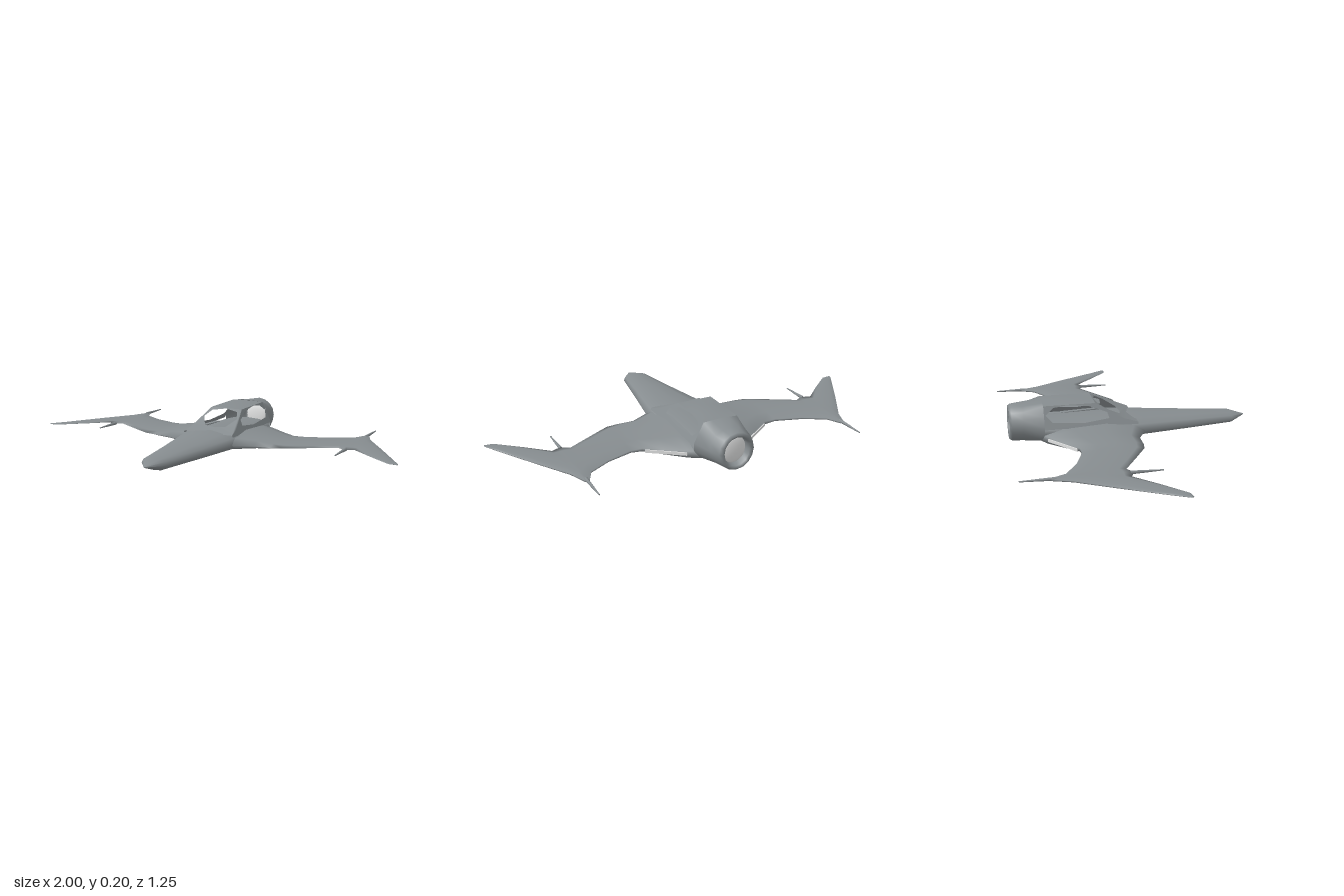
import * as THREE from 'three';

const hullGrey = new THREE.MeshStandardMaterial({ color: 0x868c8f, side: THREE.DoubleSide });
hullGrey.name = 'hull grey';
const glowWhite = new THREE.MeshStandardMaterial({ color: 0xe4e5e5 });
glowWhite.name = 'pale exhaust';

// Skin a row of closed rings; caps fan to each ring's centre. Faces are turned outward.
function loft(rings, capStart = true, capEnd = true) {
  const n = rings[0].length, pos = [], index = [];
  rings.forEach(r => r.forEach(p => pos.push(...p)));
  for (let i = 0; i < rings.length - 1; i++) {
    for (let j = 0; j < n; j++) {
      const a = i * n + j, b = i * n + (j + 1) % n;
      index.push(a, b, a + n, b, b + n, a + n);
    }
  }
  const cap = (i, flip) => {
    const c = pos.length / 3;
    pos.push(...[0, 1, 2].map(k => rings[i].reduce((s, p) => s + p[k], 0) / n));
    const first = pos.length / 3;
    rings[i].forEach(p => pos.push(...p));
    for (let j = 0; j < n; j++) {
      const a = first + j, b = first + (j + 1) % n;
      index.push(c, flip ? b : a, flip ? a : b);
    }
  };
  if (capStart) cap(0, true);
  if (capEnd) cap(rings.length - 1, false);
  const v = i => new THREE.Vector3(pos[3 * i], pos[3 * i + 1], pos[3 * i + 2]);
  let volume = 0;
  for (let i = 0; i < index.length; i += 3) {
    volume += v(index[i]).dot(v(index[i + 1]).cross(v(index[i + 2])));
  }
  if (volume < 0) index.reverse();
  const g = new THREE.BufferGeometry();
  g.setAttribute('position', new THREE.Float32BufferAttribute(pos, 3));
  g.setIndex(index);
  g.computeVertexNormals();
  return g;
}

// Complete a half cross-section (bottom centre to top centre) into a ring at depth z
const ring = (half, z) => [
  ...half.map(([x, y]) => [x, y, z]),
  ...half.slice(1, -1).reverse().map(([x, y]) => [-x, y, z]),
];

// Flat outline with a hole, bent into place by a rule
function panel(outline, hole, rule) {
  const toV = ([a, b]) => new THREE.Vector2(a, b);
  const shape = new THREE.Shape(outline.map(toV));
  shape.holes.push(new THREE.Path(hole.map(toV)));
  const g = new THREE.ShapeGeometry(shape);
  const p = g.attributes.position;
  for (let i = 0; i < p.count; i++) p.setXYZ(i, ...rule(p.getX(i), p.getY(i)));
  return g;
}

// Turn triangles so their average normal points along dir
function facing(g, dir) {
  g.computeVertexNormals();
  const nrm = g.attributes.normal;
  let sum = 0;
  for (let i = 0; i < nrm.count; i++) sum += new THREE.Vector3().fromBufferAttribute(nrm, i).dot(dir);
  if (sum < 0) {
    g.index.array.reverse();
    g.computeVertexNormals();
  }
  return g;
}

const mirrorX = pts => [...pts, ...pts.slice().reverse().filter(p => p[0] !== 0).map(([x, z]) => [-x, z])];

export function createModel() {
  const model = new THREE.Group();
  const add = (name, geometry, material = hullGrey) => {
    const mesh = new THREE.Mesh(geometry, material);
    mesh.name = name;
    model.add(mesh);
    return mesh;
  };

  // Nose and lower hull: z, half width, bottom, middle, top
  const hull = [
    [0.625, 0.004, 0.053, 0.055, 0.057],
    [0.54, 0.07, 0.024, 0.052, 0.082],
    [0.3, 0.11, 0.014, 0.052, 0.094],
    [0.06, 0.155, 0.009, 0.055, 0.105],
    [-0.05, 0.17, 0.008, 0.055, 0.112],
    [-0.2, 0.16, 0.006, 0.058, 0.108],
    [-0.45, 0.139, 0.005, 0.06, 0.104],
  ];
  add('hull', loft(hull.map(([z, w, bot, mid, top]) => ring([
    [0, bot], [0.5 * w, bot + (mid - bot) * 0.1], [0.87 * w, bot + (mid - bot) * 0.5], [w, mid],
    [0.87 * w, mid + (top - mid) * 0.6], [0.5 * w, top - (top - mid) * 0.1], [0, top],
  ], z))));

  // Engine tail: outer shell, then a lip turning back inside
  const oval = (rx, ry, cy) => Array.from({ length: 9 }, (_, i) => {
    const a = Math.PI * i / 8;
    return [i % 8 ? rx * Math.sin(a) : 0, cy - ry * Math.cos(a)];
  });
  const tailStart = [[0, 0.005], [0.07, 0.01], [0.12, 0.03], [0.138, 0.06], [0.138, 0.1],
    [0.115, 0.148], [0.089, 0.197], [0.045, 0.2], [0, 0.201]];
  const tailMid = oval(0.112, 0.096, 0.1);
  add('engineTail', loft([
    ring(tailStart, -0.45), ring(tailMid, -0.55), ring(oval(0.092, 0.093, 0.098), -0.605),
    ring(oval(0.08, 0.085, 0.098), -0.618), ring(oval(0.066, 0.072, 0.098), -0.61),
    ring(oval(0.062, 0.068, 0.098), -0.57),
  ], false, false));
  const exhaust = add('exhaust', new THREE.SphereGeometry(1, 20, 12), glowWhite);
  exhaust.scale.set(0.063, 0.069, 0.015);
  exhaust.position.set(0, 0.098, -0.575);

  // Cabin sides with open windows
  const sideX = y => 0.138 - 0.5 * (y - 0.1);
  const sideOutline = [[0.02, 0.1], [-0.05, 0.12], [-0.19, 0.197], [-0.45, 0.197], [-0.45, 0.09], [0.02, 0.09]];
  const sideWindow = [[-0.125, 0.125], [-0.133, 0.153], [-0.225, 0.186], [-0.33, 0.195],
    [-0.4, 0.187], [-0.443, 0.155], [-0.41, 0.121], [-0.25, 0.111]];
  for (const s of [1, -1]) {
    add(s > 0 ? 'cabinSideLeft' : 'cabinSideRight', facing(
      panel(sideOutline, sideWindow, (z, y) => [s * sideX(y), y, z]), new THREE.Vector3(s, 0, 0)));
  }

  // Sloping windscreen frame
  const slopeY = z => z > -0.05 ? 0.1 + (0.02 - z) * 0.02 / 0.07 : 0.12 + (-0.05 - z) * 0.55;
  add('windscreenFrame', facing(panel(
    mirrorX([[0.138, 0.02], [0.128, -0.05], [0.0895, -0.19]]),
    mirrorX([[0, -0.048], [0.06, -0.058], [0.098, -0.12], [0.074, -0.168], [0, -0.187]]),
    (x, z) => [x, slopeY(z), z]), new THREE.Vector3(0, 1, 0)));

  // Gently crowned roof
  const roof = new THREE.PlaneGeometry(0.179, 0.26, 6, 6).rotateX(-Math.PI / 2).translate(0, 0, -0.32);
  const rp = roof.attributes.position;
  for (let i = 0; i < rp.count; i++) {
    const along = Math.sin(Math.PI * Math.min(1, (-0.19 - rp.getZ(i)) / 0.3));
    rp.setY(i, 0.197 + 0.006 * along * (1 - (rp.getX(i) / 0.0895) ** 2));
  }
  roof.computeVertexNormals();
  add('cabinRoof', roof);

  // Wings: x, leading z, trailing z, top, bottom
  const wing = [
    [0.1, 0.08, -0.47, 0.106, 0.01],
    [0.16, 0.05, -0.44, 0.098, 0.014],
    [0.25, 0.003, -0.375, 0.083, 0.025],
    [0.34, 0.0, -0.31, 0.074, 0.037],
    [0.4, -0.01, -0.31, 0.07, 0.044],
    [0.53, -0.085, -0.355, 0.067, 0.048],
    [0.64, -0.15, -0.42, 0.066, 0.05],
    [0.675, -0.13, -0.49, 0.066, 0.05],
    [0.695, -0.13, -0.49, 0.066, 0.05],
    [0.73, -0.145, -0.4, 0.065, 0.051],
    [0.84, -0.045, -0.225, 0.064, 0.053],
    [0.955, 0.052, -0.035, 0.062, 0.055],
    [1.0, 0.056, 0.04, 0.061, 0.057],
  ];
  const section = ([x, lead, trail, top, bot], s) => {
    const mid = (top + bot) / 2, h = (top - bot) / 2;
    return [[0, 0], [0.12, 0.65], [0.4, 1], [0.75, 0.8], [1, 0.1], [1, -0.7], [0.75, -0.9], [0.4, -1], [0.12, -0.65]]
      .map(([t, k]) => [s * x, mid + k * h, lead + (trail - lead) * t]);
  };
  for (const s of [1, -1]) {
    const side = s > 0 ? 'Left' : 'Right';
    add('wing' + side, loft(wing.map(w => section(w, s))));

    // Thin spikes ahead of and behind each wing
    for (const [name, z, len, dir] of [['frontSpike', -0.14, 0.15, 1], ['rearSpike', -0.47, 0.16, -1]]) {
      const cone = new THREE.CylinderGeometry(0.003, 0.009, len, 8).rotateX(dir * Math.PI / 2);
      add(name + side, cone).position.set(s * 0.685, 0.058, z + dir * len / 2);
    }

    // Pale slot along the inner trailing edge
    const slot = add('trailingSlot' + side, new THREE.BoxGeometry(0.2, 0.015, 0.008), glowWhite);
    slot.position.set(s * 0.248, 0.046, -0.378);
    slot.rotation.y = -s * Math.atan2(0.13, 0.18);
  }

  return model;
}
